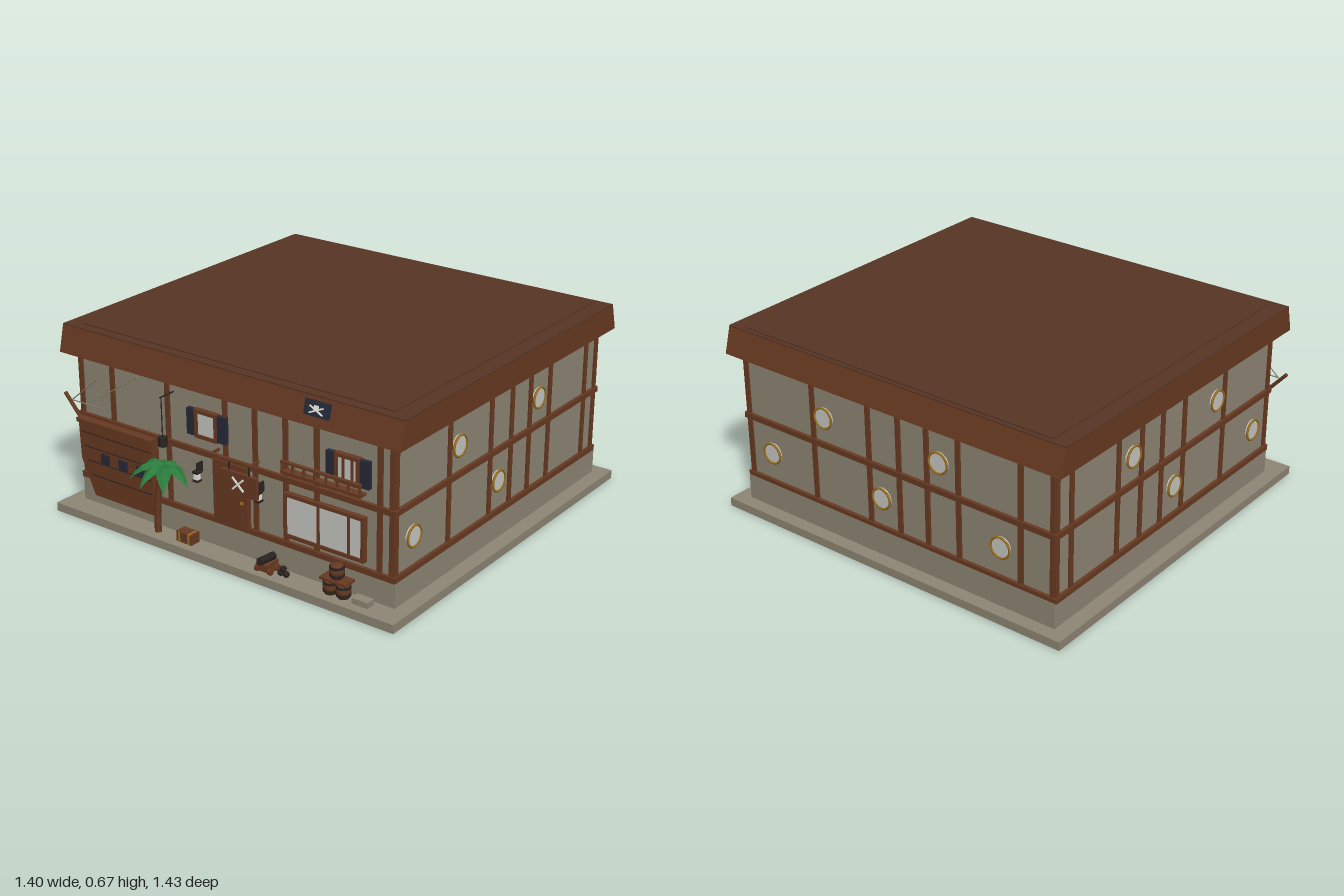
import * as THREE from 'three';

const mat = (name, color, side = THREE.FrontSide) => {
  const m = new THREE.MeshStandardMaterial({ color, side });
  m.name = name;
  return m;
};

export function createModel() {
  const root = new THREE.Group();
  root.name = 'timberFramedTavern';
  const M = {
    stone: mat('plaster', 0x8e8674), timber: mat('timber', 0x683a22),
    roof: mat('roofDeck', 0x573524), iron: mat('iron', 0x2a2422),
    navy: mat('navy', 0x262a38), glass: mat('glass', 0xc6c6c2),
    gold: mat('gold', 0x9c7020), white: mat('white', 0xe6e6e2),
    green: mat('palmGreen', 0x2b7a3c, THREE.DoubleSide),
  };

  const add = (name, geo, m, x = 0, y = 0, z = 0, parent = root) => {
    const mesh = new THREE.Mesh(geo, m);
    mesh.name = name;
    mesh.position.set(x, y, z);
    parent.add(mesh);
    return mesh;
  };
  const box = (name, m, w, h, d, x, y, z, parent) =>
    add(name, new THREE.BoxGeometry(w, h, d), m, x, y, z, parent);
  const group = (name, x = 0, y = 0, z = 0) => {
    const g = new THREE.Group();
    g.name = name;
    g.position.set(x, y, z);
    root.add(g);
    return g;
  };
  // thin round bar between two points
  const bar = (name, m, r, a, b, parent = root) => {
    const p = new THREE.Vector3(...a), q = new THREE.Vector3(...b);
    const mesh = add(name, new THREE.CylinderGeometry(r, r, p.distanceTo(q), 6), m, 0, 0, 0, parent);
    mesh.position.copy(p).add(q).multiplyScalar(0.5);
    mesh.quaternion.setFromUnitVectors(new THREE.Vector3(0, 1, 0), q.sub(p).normalize());
    return mesh;
  };

  // ground slab, plinth, walls
  box('groundSlab', M.stone, 1.395, 0.03, 1.36, 0, 0.015, 0.015);
  box('plinth', M.stone, 1.29, 0.09, 1.23, 0, 0.075, -0.003);
  box('walls', M.stone, 1.27, 0.46, 1.21, 0, 0.345, 0);

  // eaves sloping at front and back, with a raised deck on top
  const eave = new THREE.Shape([[-0.65, 0.57], [0.645, 0.57], [0.62, 0.66], [-0.628, 0.66]]
    .map(p => new THREE.Vector2(...p)));
  const eaveGeo = new THREE.ExtrudeGeometry(eave, { depth: 1.365, bevelEnabled: false });
  eaveGeo.rotateY(Math.PI / 2);
  add('roofEaves', eaveGeo, M.timber, -0.6825, 0, 0);
  box('roofDeck', M.roof, 1.365, 0.004, 1.247, 0, 0.662, 0.004);
  box('roofDeckRaised', M.roof, 1.25, 0.004, 1.2, 0, 0.666, -0.005);

  // timber frame: each wall is built facing +z and turned into place
  const wall = (name, angle, width, dist, posts, ports) => {
    const g = group(name);
    g.rotation.y = angle;
    for (const y of [0.125, 0.347]) box('rail', M.timber, width + 0.02, 0.019, 0.024, 0, y, dist, g);
    for (const x of [-width / 2 + 0.005, ...posts, width / 2 - 0.005])
      box('post', M.timber, 0.018, 0.45, 0.014, x, 0.345, dist, g);
    for (const [x, y] of ports) {
      add('portholeRing', new THREE.TorusGeometry(0.036, 0.004, 6, 20), M.gold, x, y, dist + 0.009, g);
      const disc = add('portholeGlass', new THREE.CylinderGeometry(0.036, 0.036, 0.018, 20), M.glass, x, y, dist, g);
      disc.rotation.x = Math.PI / 2;
    }
  };
  const posts = [0.315, 0.075, -0.05, -0.165, -0.29, -0.53];
  const ports = [[0.265, 0.445], [-0.215, 0.445], [0.51, 0.235], [0.025, 0.235]];
  const flip = ports.map(([x, y]) => [-x, y]);
  wall('frontFrame', 0, 1.27, 0.605, [-0.49, -0.25, -0.01, 0.11, 0.23, 0.35, 0.585], []);
  wall('rightFrame', Math.PI / 2, 1.21, 0.635, posts.map(p => -p), flip);
  wall('leftFrame', -Math.PI / 2, 1.21, 0.635, posts, ports);
  wall('backFrame', Math.PI, 1.27, 0.605, posts.map(p => -p - 0.02),
    [...flip, [0.455, 0.235]].map(([x, y]) => [x - 0.02, y]));

  // windows
  const windowUnit = (name, x, y, w, h, mullions) => {
    const g = group(name, x, y, 0.612);
    box('pane', M.glass, w, h, 0.014, 0, 0, 0, g);
    for (const s of [-1, 1]) {
      box('frameSide', M.timber, 0.012, h + 0.012, 0.024, s * w / 2, 0, 0, g);
      box('frameRail', M.timber, w + 0.012, 0.012, 0.024, 0, s * h / 2, 0, g);
    }
    for (const mx of mullions) box('mullion', M.timber, 0.01, h, 0.02, mx, 0, 0, g);
    return g;
  };
  for (const [x, m] of [[-0.08, []], [0.472, [-0.015, 0.018]]]) {
    const g = windowUnit('upperWindow', x, 0.447, 0.08, 0.085, m);
    for (const s of [-1, 1]) box('shutter', M.navy, 0.036, 0.09, 0.018, s * 0.062, 0, 0, g);
  }
  windowUnit('shopWindow', 0.383, 0.23, 0.295, 0.14, [-0.02, 0.095]);

  // small balcony rail under the upper window
  const balcony = group('balcony', 0.383, 0, 0.635);
  for (const y of [0.385, 0.418]) box('balconyRail', M.timber, 0.3, 0.007, 0.012, 0, y, 0, balcony);
  for (let i = 0; i < 8; i++) box('baluster', M.timber, 0.006, 0.04, 0.008, -0.147 + i * 0.042, 0.4, 0, balcony);
  box('balconyFloor', M.timber, 0.3, 0.008, 0.035, 0, 0.38, -0.015, balcony);

  // door, hanging sign
  box('door', M.timber, 0.14, 0.225, 0.025, 0.015, 0.232, 0.61);
  box('doorKnob', M.gold, 0.008, 0.008, 0.008, 0.065, 0.22, 0.626);
  const sign = group('hangingSign', 0.075, 0.3, 0.647);
  box('signBoard', M.timber, 0.145, 0.075, 0.012, 0, 0, 0, sign);
  box('signBar', M.timber, 0.175, 0.008, 0.012, -0.035, 0.073, 0, sign);
  for (const s of [-1, 1]) {
    box('signChain', M.iron, 0.004, 0.04, 0.004, s * 0.04, 0.055, 0, sign);
    const bone = box('crossedBone', M.white, 0.06, 0.006, 0.004, 0, 0, 0.008, sign);
    bone.rotation.z = s * 0.75;
    box('signBracket', M.timber, 0.008, 0.008, 0.05, -0.035 + s * 0.08, 0.073, -0.022, sign);
  }

  // emblem plate on the eave
  const plate = group('roofPlate', 0.378, 0.627, 0.64);
  plate.rotation.x = -0.24;
  box('plateBoard', M.navy, 0.092, 0.048, 0.012, 0, 0, 0, plate);
  for (const s of [-1, 1]) {
    const bone = box('plateBone', M.white, 0.055, 0.005, 0.004, 0, -0.004, 0.007, plate);
    bone.rotation.z = s * 0.42;
  }
  box('plateSkull', M.white, 0.016, 0.014, 0.005, 0, 0.004, 0.008, plate);

  // flat half ship against the front wall
  const hull = new THREE.Shape([[-0.625, 0.335], [-0.62, 0.2], [-0.565, 0.075], [-0.3, 0.075], [-0.3, 0.335]]
    .map(p => new THREE.Vector2(...p)));
  add('shipHull', new THREE.ExtrudeGeometry(hull, { depth: 0.04, bevelEnabled: false }), M.timber, 0, 0, 0.6);
  box('shipRail', M.timber, 0.33, 0.014, 0.05, -0.464, 0.34, 0.622);
  for (let i = 0; i < 4; i++) box('hullSeam', M.iron, 0.31 - (3 - i) * 0.012, 0.003, 0.003, -0.459 + (3 - i) * 0.006, 0.15 + i * 0.05, 0.64);
  for (const x of [-0.508, -0.428, -0.35]) box('gunPort', M.navy, 0.036, 0.036, 0.008, x, 0.222, 0.641);
  bar('bowsprit', M.timber, 0.007, [-0.62, 0.33, 0.625], [-0.695, 0.415, 0.625]);
  const rigging = [[-0.665, 0.395], [-0.54, 0.5], [-0.54, 0.395], [-0.665, 0.395]];
  for (let i = 0; i < 3; i++) bar('rigging', M.stone, 0.002, [...rigging[i], 0.625], [...rigging[i + 1], 0.625]);
  bar('rigging', M.stone, 0.002, [-0.54, 0.43, 0.625], [-0.375, 0.54, 0.615]);

  // palm: curved trunk and drooping folded leaves
  const trunk = new THREE.CatmullRomCurve3([[-0.275, 0.03, 0.65], [-0.272, 0.13, 0.65], [-0.258, 0.21, 0.65], [-0.235, 0.28, 0.65]]
    .map(p => new THREE.Vector3(...p)));
  add('palmTrunk', new THREE.TubeGeometry(trunk, 10, 0.012, 7), M.timber);
  const leaf = new THREE.PlaneGeometry(1, 1, 5, 2);
  const P = leaf.attributes.position;
  for (let i = 0; i < P.count; i++) {
    const t = P.getX(i) + 0.5, side = P.getY(i) * 2;
    const half = 0.024 * Math.sin(Math.PI * Math.min(1, 0.12 + t * 0.88));
    P.setXYZ(i, t * 0.115, 0.03 * Math.sin(t * 2.2) - 0.075 * t * t - Math.abs(side) * half * 0.6, side * half);
  }
  const leafGeo = leaf.toNonIndexed();
  leafGeo.computeVertexNormals();
  const palm = group('palmLeaves', -0.235, 0.282, 0.652);
  for (let i = 0; i < 8; i++) {
    const l = add('palmLeaf', leafGeo, M.green, 0, 0, 0, palm);
    l.rotation.y = -0.1 - i * Math.PI / 4;
    const back = Math.sin(-l.rotation.y) < -0.2;
    l.scale.setScalar(back ? 0.6 : 0.95 + 0.08 * (i % 2));
  }

  // hanging lantern and wall lamps
  bar('lanternArm', M.iron, 0.003, [-0.225, 0.525, 0.605], [-0.225, 0.525, 0.67]);
  bar('lanternChain', M.iron, 0.002, [-0.225, 0.525, 0.665], [-0.225, 0.38, 0.665]);
  add('lantern', new THREE.CylinderGeometry(0.015, 0.015, 0.032, 8), M.iron, -0.225, 0.372, 0.665);
  for (const x of [-0.113, 0.138]) {
    box('lampGlass', M.white, 0.016, 0.022, 0.016, x, 0.268, 0.632);
    box('lampCap', M.iron, 0.022, 0.008, 0.022, x, 0.283, 0.632);
    box('lampFoot', M.iron, 0.022, 0.007, 0.022, x, 0.254, 0.632);
    box('lampArm', M.iron, 0.006, 0.035, 0.03, x, 0.295, 0.618);
  }

  // treasure chest with a rounded lid
  box('chestBody', M.timber, 0.065, 0.036, 0.04, -0.15, 0.048, 0.645);
  const lid = add('chestLid', new THREE.CylinderGeometry(0.032, 0.032, 0.04, 14, 1, false, Math.PI / 2, Math.PI), M.gold, -0.15, 0.065, 0.645);
  lid.rotation.x = -Math.PI / 2;
  for (const s of [-1, 1]) box('chestBand', M.gold, 0.008, 0.036, 0.044, -0.15 + s * 0.02, 0.048, 0.645);

  // cannon and shot
  box('cannonCarriage', M.timber, 0.042, 0.025, 0.06, 0.185, 0.053, 0.65);
  for (const sx of [-1, 1]) for (const z of [0.633, 0.668]) {
    const wheel = add('cannonWheel', new THREE.CylinderGeometry(0.012, 0.012, 0.01, 10), M.timber, 0.185 + sx * 0.026, 0.042, z);
    wheel.rotation.z = Math.PI / 2;
  }
  bar('cannonBarrel', M.iron, 0.014, [0.185, 0.072, 0.62], [0.185, 0.078, 0.69]);
  for (const [x, y] of [[0.238, 0.041], [0.26, 0.041], [0.249, 0.057]])
    add('cannonBall', new THREE.SphereGeometry(0.011, 10, 8), M.iron, x, y, 0.65);

  // stacked barrels
  const profile = [[0, 0], [0.019, 0], [0.025, 0.025], [0.019, 0.05], [0, 0.05]].map(p => new THREE.Vector2(...p));
  for (const [x, y] of [[0.428, 0.03], [0.478, 0.03], [0.453, 0.09]]) {
    add('barrel', new THREE.LatheGeometry(profile, 12), M.timber, x, y, 0.645);
    for (const h of [0.012, 0.038])
      add('barrelHoop', new THREE.CylinderGeometry(0.0245, 0.0245, 0.008, 12), M.iron, x, y + h, 0.645);
  }
  box('barrelPlank', M.timber, 0.1, 0.008, 0.05, 0.453, 0.085, 0.645);
  box('crate', M.stone, 0.06, 0.02, 0.035, 0.55, 0.04, 0.645);

  return root;
}
